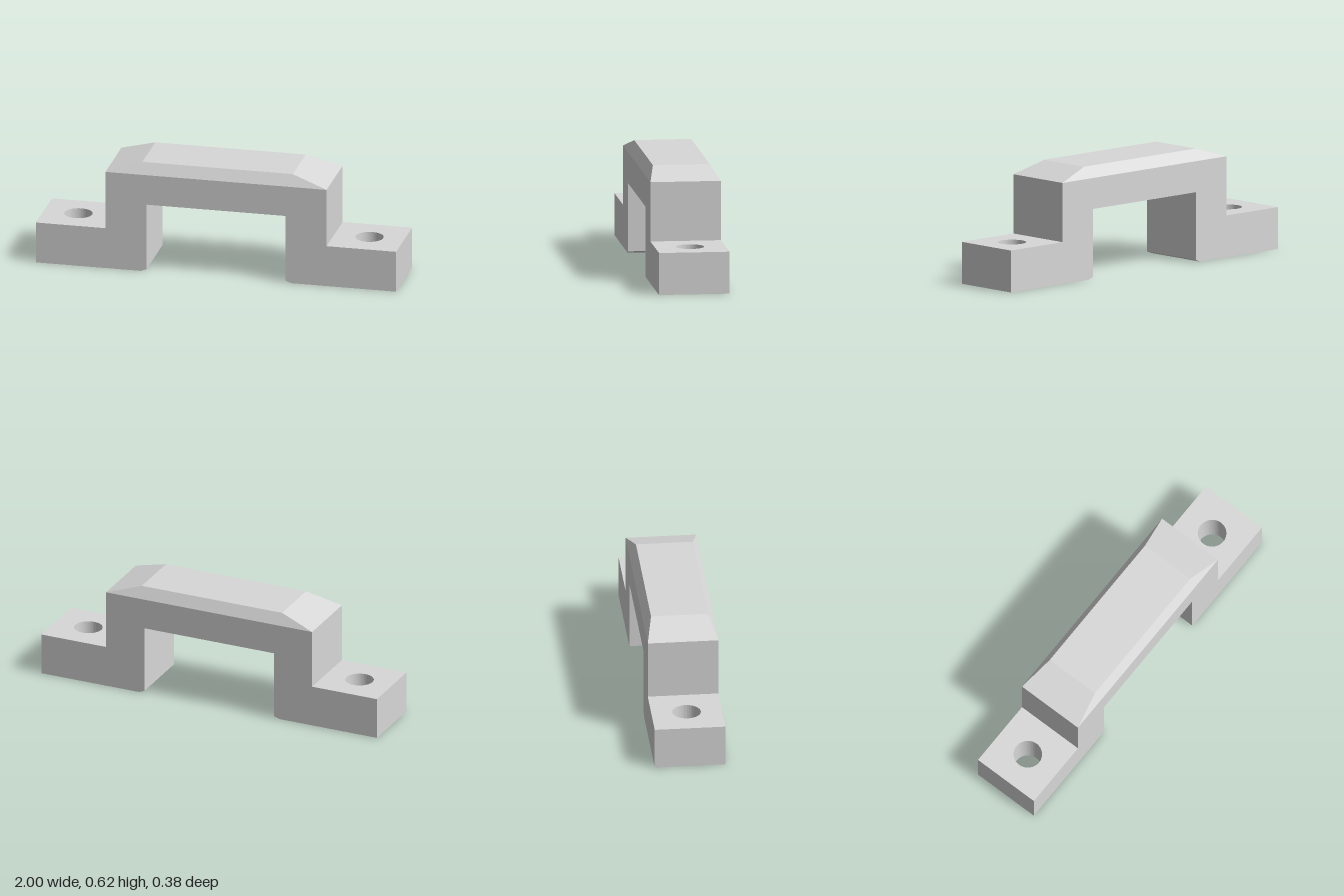
import * as THREE from 'three';
import { toCreasedNormals } from 'three/addons/utils/BufferGeometryUtils.js';

const DEPTH = 0.384;              // front to back
const OUTER = 0.614, INNER = 0.386; // leg faces
const FOOT_H = 0.23, UNDERSIDE = 0.385, SHOULDER = 0.555, TOP = 0.616;
const EPS = 1e-4;

// Remove hidden joint faces: triangles whose three corners all satisfy one of the tests.
function dropFaces(geometry, ...tests) {
  const src = geometry.index ? geometry.toNonIndexed() : geometry;
  const p = src.attributes.position;
  const kept = [];
  for (let i = 0; i < p.count; i += 3) {
    const ids = [i, i + 1, i + 2];
    if (tests.some(test => ids.every(k => test(p.getX(k), p.getY(k))))) continue;
    for (const k of ids) kept.push(p.getX(k), p.getY(k), p.getZ(k));
  }
  const out = new THREE.BufferGeometry();
  out.setAttribute('position', new THREE.Float32BufferAttribute(kept, 3));
  return toCreasedNormals(out, 0.25);
}

// Mounting foot on the +x side with a round screw hole.
function footGeometry() {
  const h = DEPTH / 2;
  const shape = new THREE.Shape([[OUTER, -h], [1, -h], [1, h], [OUTER, h]]
    .map(([x, y]) => new THREE.Vector2(x, y)));
  shape.holes.push(new THREE.Path().absarc(0.808, 0, 0.077, 0, Math.PI * 2, true));
  const geo = new THREE.ExtrudeGeometry(shape, { depth: FOOT_H, bevelEnabled: false, curveSegments: 40 });
  geo.rotateX(-Math.PI / 2);
  return dropFaces(geo, x => x < OUTER + EPS);
}

// Two legs and the crossbar as one arch, with small chamfers at the inner toes.
function archGeometry() {
  const half = [[INNER, UNDERSIDE], [INNER, 0.012], [0.418, 0], [OUTER, 0], [OUTER, FOOT_H], [OUTER, SHOULDER]];
  const mirrored = half.map(([x, y]) => [-x, y]).reverse();
  const shape = new THREE.Shape([...half, ...mirrored].map(([x, y]) => new THREE.Vector2(x, y)));
  const geo = new THREE.ExtrudeGeometry(shape, { depth: DEPTH, bevelEnabled: false });
  geo.translate(0, 0, -DEPTH / 2);
  return dropFaces(geo,
    (x, y) => Math.abs(x) > OUTER - EPS && y < FOOT_H + EPS,
    (x, y) => y > SHOULDER - EPS);
}

// Bevelled cap: a box whose top corners are drawn inward.
function capGeometry() {
  const geo = new THREE.BoxGeometry(OUTER * 2, TOP - SHOULDER, DEPTH);
  geo.translate(0, (TOP + SHOULDER) / 2, 0);
  const p = geo.attributes.position;
  for (let i = 0; i < p.count; i++) {
    if (p.getY(i) > SHOULDER + EPS) {
      p.setX(i, Math.sign(p.getX(i)) * 0.418);
      p.setZ(i, Math.sign(p.getZ(i)) * 0.155);
    }
  }
  return dropFaces(geo, (x, y) => y < SHOULDER + EPS);
}

export function createModel() {
  const model = new THREE.Group();
  model.name = 'bracketHandle';
  const grey = new THREE.MeshStandardMaterial({ name: 'light grey', color: 0xd8d8d8 });

  const add = (name, geometry) => {
    const mesh = new THREE.Mesh(geometry, grey);
    mesh.name = name;
    model.add(mesh);
  };

  const foot = footGeometry();
  add('leftFoot', foot);
  add('rightFoot', foot.clone().rotateY(Math.PI));
  add('arch', archGeometry());
  add('bevelledCap', capGeometry());
  return model;
}
